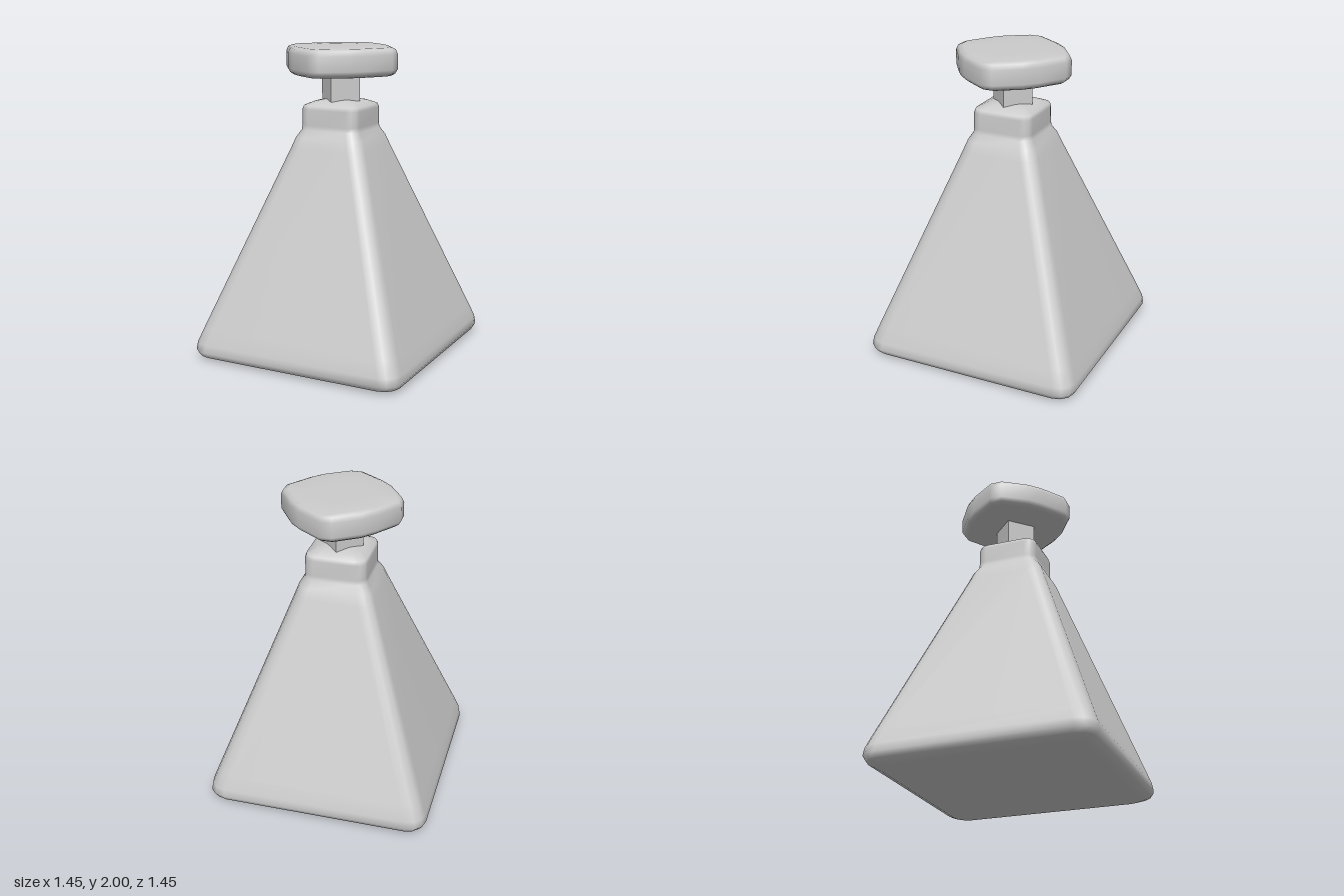
import * as THREE from 'three';

const material = new THREE.MeshStandardMaterial({ color: 0xcccccc });

// Repeats a quarter outline of [x, z] points four times around the y axis
function fourfold(quarter) {
  const ring = [];
  let points = quarter;
  for (let i = 0; i < 4; i++) {
    ring.push(...points);
    points = points.map(([x, z]) => [z, -x]);
  }
  return ring;
}

// Square outline with rounded corners
function roundedSquare(half, radius, steps = 3) {
  const quarter = [];
  for (let i = 0; i <= steps; i++) {
    const a = (i / steps) * Math.PI / 2;
    quarter.push([half - radius + radius * Math.sin(a), half - radius + radius * Math.cos(a)]);
  }
  return fourfold(quarter);
}

// Skins a stack of { y, ring } sections from bottom to top and closes both ends
function loft(sections) {
  const n = sections[0].ring.length;
  const positions = [];
  const index = [];
  for (const { y, ring } of sections) for (const [x, z] of ring) positions.push(x, y, z);
  for (let s = 0; s < sections.length - 1; s++) {
    for (let i = 0; i < n; i++) {
      const a = s * n + i, b = s * n + (i + 1) % n;
      index.push(a, b, b + n, a, b + n, a + n);
    }
  }
  const bottom = positions.length / 3, top = bottom + 1, last = (sections.length - 1) * n;
  positions.push(0, sections[0].y, 0, 0, sections[sections.length - 1].y, 0);
  for (let i = 0; i < n; i++) {
    const j = (i + 1) % n;
    index.push(bottom, j, i, top, last + i, last + j);
  }
  const geometry = new THREE.BufferGeometry();
  geometry.setAttribute('position', new THREE.Float32BufferAttribute(positions, 3));
  geometry.setIndex(index);
  geometry.computeVertexNormals();
  return geometry;
}

function addMesh(group, name, geometry, mat = material) {
  const mesh = new THREE.Mesh(geometry, mat);
  mesh.name = name;
  group.add(mesh);
  return mesh;
}

export function createModel() {
  const model = new THREE.Group();
  model.name = 'bottle';

  // Pyramid body running into a square neck: [y, half width, corner radius]
  const bodyProfile = [
    [0, 0.55, 0.06], [0, 0.65, 0.09], [0.025, 0.705, 0.105], [0.06, 0.725, 0.11],
    [0.11, 0.718, 0.11], [0.2, 0.685, 0.105], [1.36, 0.257, 0.085], [1.42, 0.235, 0.08],
    [1.47, 0.204, 0.07], [1.5, 0.2, 0.065], [1.6, 0.2, 0.065], [1.625, 0.192, 0.065],
    [1.648, 0.14, 0.06], [1.66, 0.08, 0.04],
  ];
  addMesh(model, 'body', loft(bodyProfile.map(([y, half, radius]) => ({ y, ring: roundedSquare(half, radius) }))));

  // Square stem turned so a corner faces forward
  const stem = addMesh(model, 'stopperStem', new THREE.CylinderGeometry(0.137, 0.137, 0.21, 4),
    new THREE.MeshStandardMaterial({ color: 0xcccccc, flatShading: true }));
  stem.position.y = 1.745;

  // Bulging diamond stopper head: [y, scale]
  const outline = fourfold([[0.04, 0.38], [0.2, 0.275], [0.27, 0.2], [0.38, 0.04]]);
  const headProfile = [
    [1.82, 0.5], [1.82, 0.9], [1.835, 0.96], [1.86, 1],
    [1.955, 1], [1.985, 0.96], [1.997, 0.88], [2, 0.5],
  ];
  addMesh(model, 'stopperHead', loft(headProfile.map(([y, s]) => ({
    y, ring: outline.map(([x, z]) => [x * s, z * s]),
  }))));

  return model;
}
